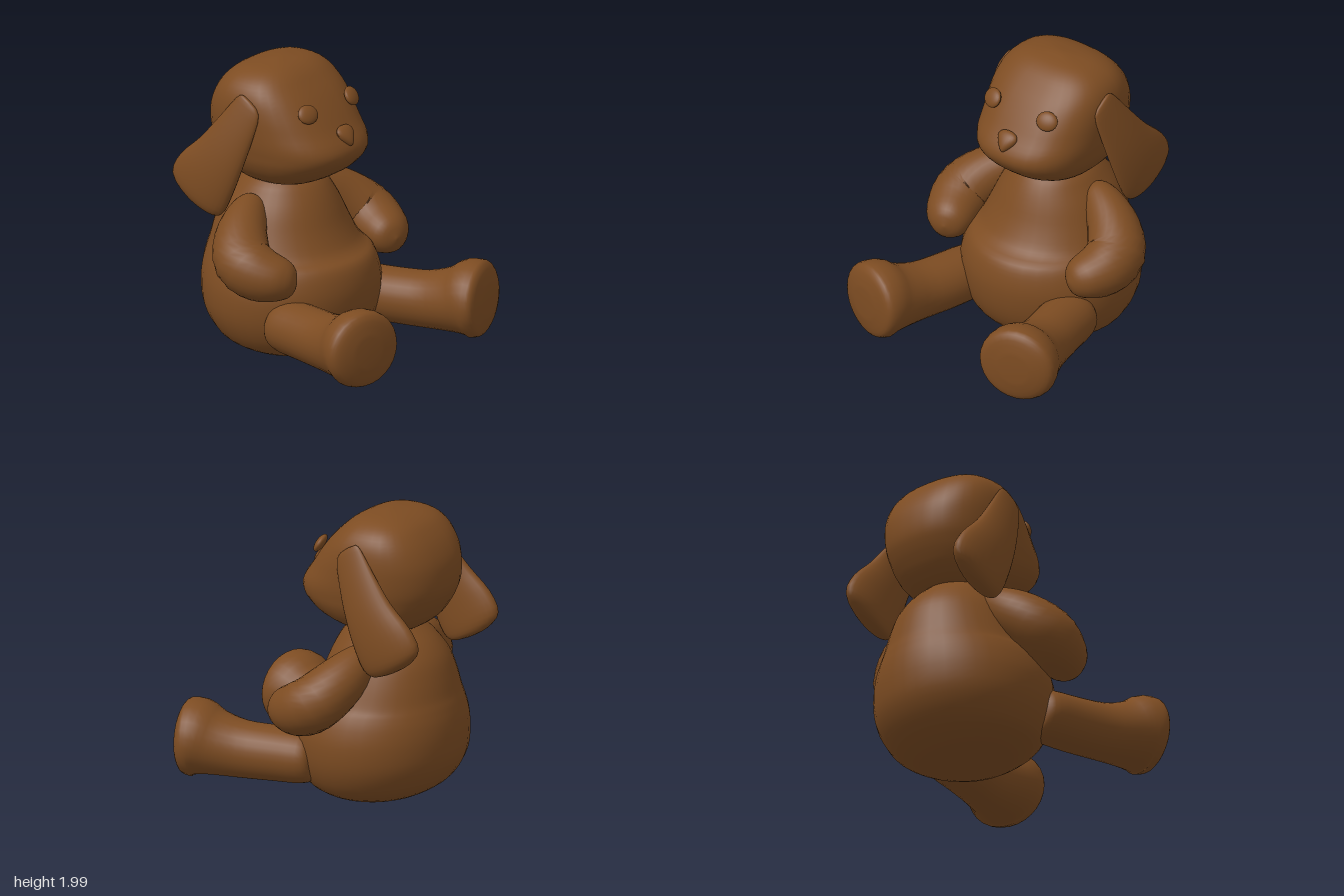
import * as THREE from 'three';

const V = (x, y, z) => new THREE.Vector3(x, y, z);

// Catmull-Rom refinement of rows of numbers
function refine(rows, steps = 3) {
  const out = [], at = i => rows[Math.min(Math.max(i, 0), rows.length - 1)];
  for (let i = 0; i < rows.length - 1; i++) {
    for (let s = 0; s < steps; s++) {
      const t = s / steps;
      out.push(rows[i].map((b, k) => {
        const a = at(i - 1)[k], c = at(i + 1)[k], d = at(i + 2)[k];
        return b + 0.5 * t * (c - a + t * (2 * a - 5 * b + 4 * c - d + t * (3 * (b - c) + d - a)));
      }));
    }
  }
  out.push(rows[rows.length - 1]);
  return out;
}

// Closed skin over rings { c, u, v }; e is the superellipse exponent
function loft(rings, e = 2, n = 28) {
  const pos = [], idx = [], last = rings.length - 1;
  const bend = k => Math.sign(k) * Math.abs(k) ** (2 / e);
  for (const { c, u, v } of rings) {
    for (let j = 0; j < n; j++) {
      const a = (j / n) * Math.PI * 2;
      const p = c.clone().addScaledVector(u, bend(Math.cos(a))).addScaledVector(v, bend(Math.sin(a)));
      pos.push(p.x, p.y, p.z);
    }
  }
  pos.push(...rings[0].c.toArray(), ...rings[last].c.toArray());
  const start = n * rings.length;
  for (let j = 0; j < n; j++) {
    const k = (j + 1) % n;
    for (let i = 0; i < last; i++) {
      const p = i * n, q = p + n;
      idx.push(p + j, p + k, q + k, p + j, q + k, q + j);
    }
    idx.push(start, k, j, start + 1, last * n + j, last * n + k);
  }
  const g = new THREE.BufferGeometry();
  g.setAttribute('position', new THREE.Float32BufferAttribute(pos, 3));
  g.setIndex(idx);
  g.computeVertexNormals();
  return g;
}

// Upright shape from rows [y, front z, back z, half width]
const upright = (rows, e) => loft(refine(rows).map(([y, f, b, w]) => ({
  c: V(0, y, (f + b) / 2), u: V(Math.max(w, 0.005), 0, 0), v: V(0, 0, -Math.max((f - b) / 2, 0.005)),
})), e, 36);

// Limb from rows [x, y, z, side radius, upper radius], rings square to the path
function limb(rows) {
  const r = refine(rows), p = r.map(a => V(a[0], a[1], a[2]));
  return loft(p.map((c, i) => {
    const t = p[Math.min(i + 1, p.length - 1)].clone().sub(p[Math.max(i - 1, 0)]).normalize();
    const u = V(0, 1, 0).cross(t).normalize(), v = t.clone().cross(u);
    return { c, u: u.multiplyScalar(r[i][3]), v: v.multiplyScalar(r[i][4]) };
  }));
}

function mirrored(geo) {
  const g = geo.clone(), ix = g.index.array;
  g.attributes.position.array.forEach((_, i, a) => { if (i % 3 === 0) a[i] *= -1; });
  for (let i = 0; i < ix.length; i += 3) [ix[i], ix[i + 1]] = [ix[i + 1], ix[i]];
  g.computeVertexNormals();
  return g;
}

export function createModel() {
  const model = new THREE.Group();
  const brown = new THREE.MeshStandardMaterial({ color: 0x7d4c22 });
  brown.name = 'brown plush';

  const add = (name, geo) => {
    const m = new THREE.Mesh(geo, brown);
    m.name = name;
    model.add(m);
  };
  const pair = (name, geo) => {
    add(name + 'Left', geo);
    add(name + 'Right', mirrored(geo));
  };

  // Pear-shaped body with a belly fold at the front
  add('body', upright([
    [0.01, -0.25, -0.29, 0.02], [0.05, -0.01, -0.52, 0.28], [0.13, 0.13, -0.69, 0.46],
    [0.22, 0.21, -0.79, 0.54], [0.35, 0.26, -0.86, 0.59], [0.5, 0.28, -0.88, 0.6],
    [0.62, 0.265, -0.875, 0.575], [0.7, 0.23, -0.86, 0.54], [0.74, 0.17, -0.85, 0.51],
    [0.79, 0.12, -0.835, 0.485], [0.9, 0.06, -0.81, 0.44], [1.02, 0.01, -0.77, 0.385],
    [1.12, -0.04, -0.7, 0.32], [1.2, -0.1, -0.61, 0.26], [1.28, -0.2, -0.5, 0.15],
  ], 2));

  // Head with a sloping face and blunt muzzle
  add('head', upright([
    [1.2, -0.17, -0.48, 0.17], [1.22, -0.07, -0.59, 0.26], [1.29, 0.07, -0.69, 0.345],
    [1.37, 0.16, -0.75, 0.392], [1.44, 0.2, -0.79, 0.41], [1.51, 0.185, -0.815, 0.423],
    [1.6, 0.12, -0.82, 0.43], [1.7, 0.05, -0.805, 0.432], [1.8, -0.03, -0.76, 0.42],
    [1.88, -0.11, -0.7, 0.385], [1.94, -0.18, -0.63, 0.32], [1.98, -0.26, -0.53, 0.22],
    [2.0, -0.36, -0.41, 0.05],
  ], 2.5));

  // Eyes
  const eye = new THREE.SphereGeometry(1, 24, 16).scale(0.075, 0.065, 0.03);
  eye.rotateX(-0.55).rotateY(0.28).translate(0.23, 1.745, 0.015);
  pair('eye', eye);

  // Nose, wide at the top and pointed below
  const nose = new THREE.SphereGeometry(1, 24, 16), np = nose.attributes.position;
  for (let i = 0; i < np.count; i++) np.setX(i, np.getX(i) * (0.85 + 0.5 * np.getY(i)));
  nose.scale(0.078, 0.074, 0.035).rotateX(-0.6).translate(0, 1.568, 0.155);
  nose.computeVertexNormals();
  add('nose', nose);

  // Floppy ears swept backwards: [x, y, z, thickness, width]
  pair('ear', loft(refine([
    [0.42, 1.835, -0.35, 0.008, 0.03], [0.425, 1.78, -0.33, 0.025, 0.1],
    [0.45, 1.61, -0.41, 0.05, 0.145], [0.472, 1.43, -0.51, 0.07, 0.185],
    [0.48, 1.27, -0.62, 0.082, 0.23], [0.477, 1.135, -0.69, 0.08, 0.23],
    [0.47, 1.06, -0.69, 0.055, 0.15], [0.47, 1.04, -0.69, 0.01, 0.03],
  ]).map(([x, y, z, t, w]) => ({ c: V(x, y, z), u: V(t, 0, 0), v: V(0, -0.44 * w, 0.9 * w) }))));

  // Arms bent at the elbow
  pair('arm', limb([
    [0.27, 1.1, -0.38, 0.03, 0.03], [0.31, 1.075, -0.375, 0.09, 0.09],
    [0.4, 1.01, -0.355, 0.135, 0.14], [0.53, 0.91, -0.3, 0.175, 0.175],
    [0.635, 0.8, -0.2, 0.195, 0.19], [0.62, 0.735, -0.07, 0.185, 0.18],
    [0.565, 0.71, 0.06, 0.15, 0.14], [0.54, 0.705, 0.13, 0.09, 0.09],
    [0.53, 0.705, 0.155, 0.01, 0.01],
  ]));

  // Legs flaring into flat-soled feet
  pair('leg', limb([
    [0.415, 0.35, -0.09, 0.07, 0.08], [0.42, 0.35, -0.06, 0.14, 0.14],
    [0.435, 0.345, 0.01, 0.18, 0.175], [0.47, 0.345, 0.2, 0.187, 0.183],
    [0.525, 0.35, 0.42, 0.19, 0.19], [0.57, 0.375, 0.6, 0.23, 0.215],
    [0.6, 0.4, 0.71, 0.265, 0.257], [0.62, 0.4, 0.78, 0.262, 0.25],
    [0.63, 0.4, 0.815, 0.215, 0.205], [0.635, 0.4, 0.835, 0.1, 0.1],
  ]));

  return model;
}
